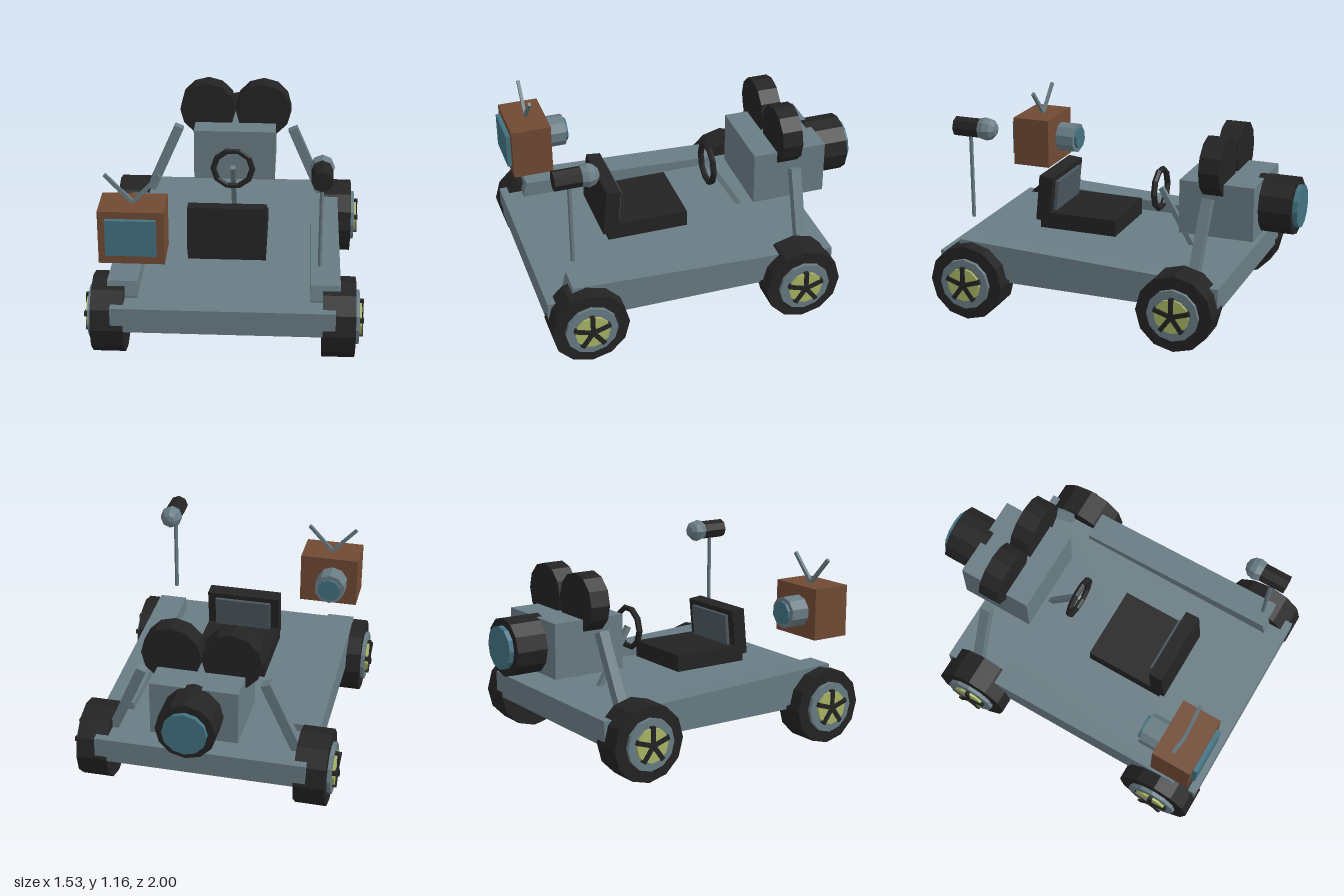
import * as THREE from 'three';

const paint = (name, color) => {
  const m = new THREE.MeshStandardMaterial({ color, flatShading: true });
  m.name = name;
  return m;
};

export function createModel() {
  const metal = paint('blue grey metal', 0x697c84);
  const black = paint('black rubber', 0x232323);
  const slate = paint('slate padding', 0x4b575e);
  const brown = paint('brown wood', 0x704a34);
  const teal = paint('teal glass', 0x427080);
  const lime = paint('yellow green hub', 0xa9b564);

  const model = new THREE.Group();
  model.name = 'buggy';

  const add = (name, geo, mat, pos = [0, 0, 0], parent = model) => {
    const mesh = new THREE.Mesh(geo, mat);
    mesh.name = name;
    mesh.position.set(...pos);
    parent.add(mesh);
    return mesh;
  };
  // Box given by its minimum and maximum corners
  const box = (name, mat, a, b, parent) =>
    add(name, new THREE.BoxGeometry(b[0] - a[0], b[1] - a[1], b[2] - a[2]), mat,
      a.map((v, i) => (v + b[i]) / 2), parent);
  // Cylinder lying along z, between z0 and z1
  const drum = (name, mat, x, y, z0, z1, r, sides = 12) =>
    add(name, new THREE.CylinderGeometry(r, r, z1 - z0, sides).rotateX(Math.PI / 2), mat,
      [x, y, (z0 + z1) / 2]);
  // Straight bar between two points
  const bar = (name, mat, a, b, w, d = w) => {
    const p = new THREE.Vector3(...a), q = new THREE.Vector3(...b);
    const mesh = add(name, new THREE.BoxGeometry(w, p.distanceTo(q), d), mat,
      p.clone().add(q).multiplyScalar(0.5).toArray());
    mesh.quaternion.setFromUnitVectors(new THREE.Vector3(0, 1, 0), q.sub(p).normalize());
    return mesh;
  };

  // Chassis slab with a sloping rail along each side
  box('chassis', metal, [-0.61, 0.213, -0.7], [0.61, 0.357, 0.992]);
  const railShape = new THREE.Shape([[0.87, 0.245], [0.87, 0.37], [0.85, 0.452], [-0.36, 0.403], [-0.36, 0.245]]
    .map(p => new THREE.Vector2(...p)));
  const railGeo = new THREE.ExtrudeGeometry(railShape, { depth: 0.165, bevelEnabled: false }).rotateY(-Math.PI / 2);
  add('leftRail', railGeo, metal, [0.635, 0, 0]);
  add('rightRail', railGeo, metal, [-0.47, 0, 0]);

  // Wheels: tyre, rim, hub disc and five spokes, built pointing along +x
  const wheel = (name, side, z) => {
    const g = new THREE.Group();
    g.name = name;
    const disc = (part, mat, x0, x1, r, n) =>
      add(part, new THREE.CylinderGeometry(r, r, x1 - x0, n).rotateZ(Math.PI / 2), mat, [(x0 + x1) / 2, 0, 0], g);
    disc('tyre', black, 0.54, 0.72, 0.222, 12);
    disc('rim', metal, 0.7, 0.742, 0.15, 12);
    disc('hub', lime, 0.73, 0.756, 0.1, 12);
    for (let i = 0; i < 5; i++) {
      const spoke = new THREE.BoxGeometry(0.03, 0.108, 0.026).translate(0.75, 0.054, 0);
      add('spoke', spoke.rotateX(i * Math.PI * 2 / 5), black, [0, 0, 0], g);
    }
    g.position.set(0, 0.222, z);
    if (side < 0) g.rotation.y = Math.PI;
    model.add(g);
  };
  for (const [label, s] of [['Left', 1], ['Right', -1]]) {
    wheel('front' + label + 'Wheel', s, 0.778);
    wheel('rear' + label + 'Wheel', s, -0.483);
    // Strut leaning in towards the engine box
    bar('rear' + label + 'Strut', metal, [s * 0.56, 0.3, -0.53], [s * 0.352, 0.778, -0.552], 0.058);
    // Twin drums on the engine box
    drum('top' + label + 'Drum', black, s * 0.17, 0.915, -0.607, -0.487, 0.17);
  }

  // Seat with a reclined, padded back
  box('seatBase', black, [-0.22, 0.427, 0.055], [0.22, 0.525, 0.53]);
  const seatBack = new THREE.Group();
  seatBack.name = 'seatBack';
  box('backrest', black, [-0.22, 0, -0.04], [0.22, 0.275, 0.045], seatBack);
  box('backPad', slate, [-0.17, 0.04, -0.06], [0.17, 0.245, -0.04], seatBack);
  seatBack.position.set(0, 0.468, 0.515);
  seatBack.rotation.x = -0.1;
  model.add(seatBack);

  // Steering
  add('steeringWheel', new THREE.TorusGeometry(0.117, 0.018, 6, 10), black, [0, 0.68, -0.146]);
  bar('steeringColumn', metal, [0, 0.34, -0.355], [0, 0.685, -0.15], 0.03);

  // Engine box and big rear lens
  box('engineBox', metal, [-0.248, 0.518, -0.785], [0.248, 0.833, -0.347]);
  drum('lensHousing', black, 0, 0.677, -0.972, -0.75, 0.168);
  drum('lensGlass', teal, 0, 0.677, -1, -0.95, 0.125);

  // Television headlamp
  box('televisionCase', brown, [-0.66, 0.615, 0.714], [-0.307, 0.918, 0.95]);
  box('televisionScreen', teal, [-0.62, 0.672, 0.94], [-0.35, 0.878, 0.976]);
  drum('televisionTube', metal, -0.508, 0.768, 0.597, 0.73, 0.094, 10);
  drum('tubeGlass', teal, -0.508, 0.768, 0.58, 0.62, 0.069, 10);
  for (const x of [-0.63, -0.338])
    bar('antenna', metal, [-0.484, 0.918, 0.825], [x, 1.075, 0.825], 0.02, 0.018);

  // Microphone on its pole
  add('microphonePole', new THREE.CylinderGeometry(0.0125, 0.0125, 0.5, 6), metal, [0.518, 0.808, 0.815]);
  drum('microphoneBody', black, 0.518, 1.094, 0.72, 0.903, 0.057, 8);
  add('microphoneHead', new THREE.SphereGeometry(0.068, 8, 6).rotateX(Math.PI / 2), metal, [0.518, 1.094, 0.715]);

  return model;
}
